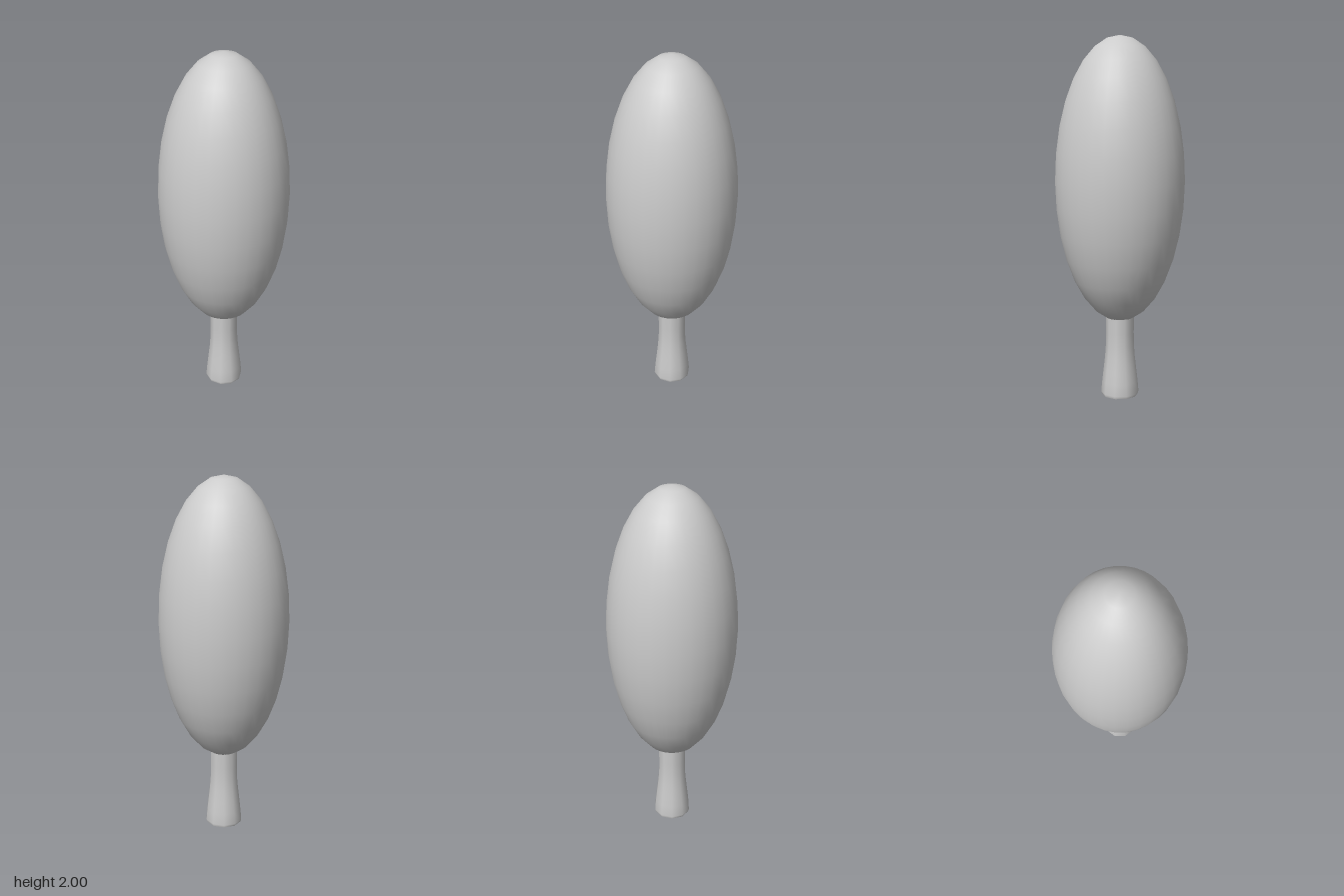
import * as THREE from 'three';

export function createModel() {
  const model = new THREE.Group();
  const material = new THREE.MeshStandardMaterial({ color: 0xcccccc });

  function add(name, geometry) {
    const mesh = new THREE.Mesh(geometry, material);
    mesh.name = name;
    model.add(mesh);
    return mesh;
  }

  // Tall egg-shaped crown
  const crown = add('crown', new THREE.SphereGeometry(1, 32, 16));
  crown.scale.set(0.356, 0.785, 0.356);
  crown.position.y = 1.215;

  // Ten-sided trunk, flaring towards the ground and reaching into the crown
  const profile = [
    [0.101, 0], [0.106, 0.015], [0.1, 0.08], [0.092, 0.15],
    [0.084, 0.22], [0.079, 0.29], [0.078, 0.36], [0.079, 0.48],
  ].map(([r, y]) => new THREE.Vector2(r, y));
  const trunk = add('trunk', new THREE.LatheGeometry(profile, 10));
  trunk.rotation.y = Math.PI / 2;

  // Flat underside of the trunk
  const base = add('trunkBase', new THREE.CircleGeometry(0.101, 10));
  base.rotation.x = Math.PI / 2;

  return model;
}
